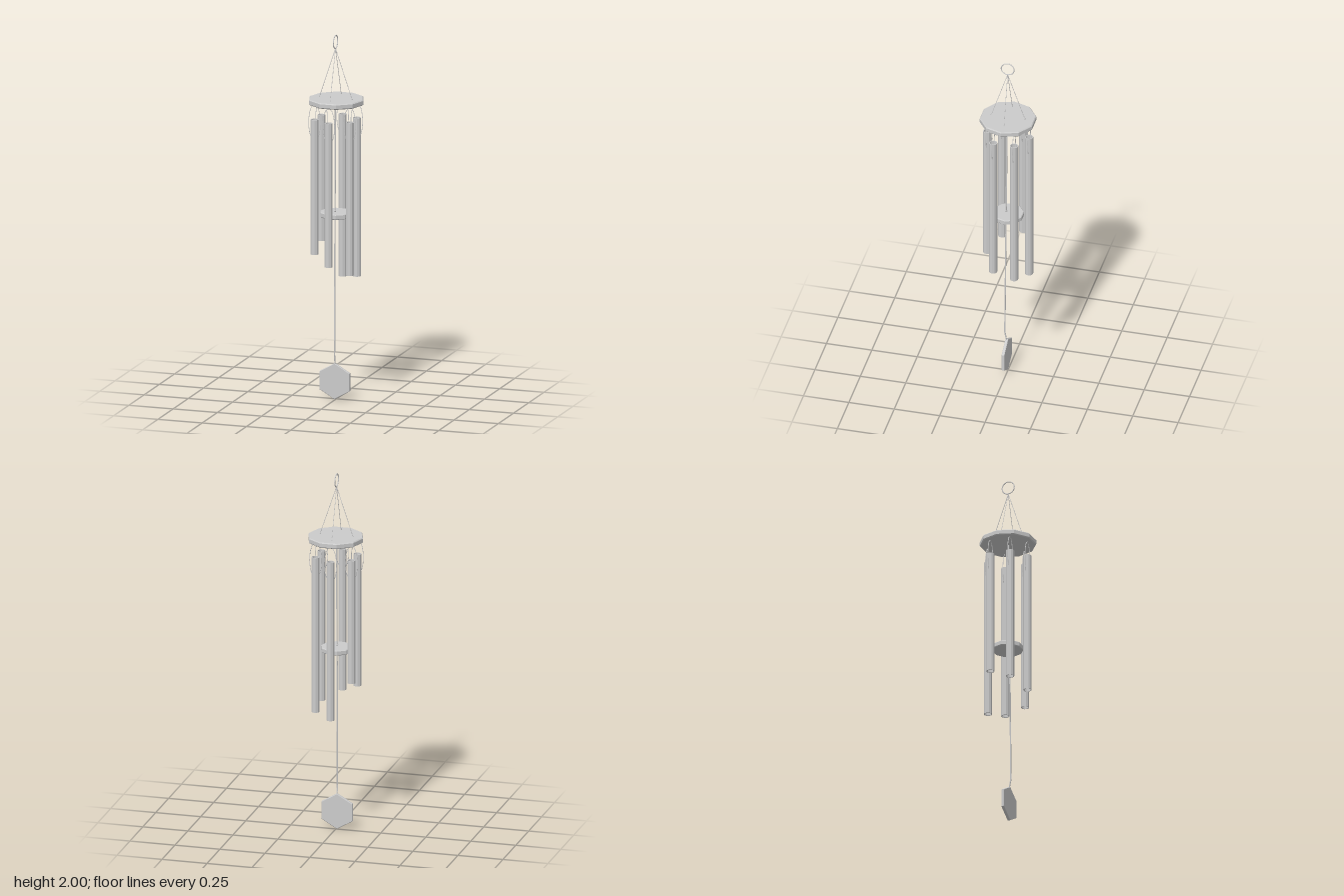
import * as THREE from 'three';

const material = new THREE.MeshStandardMaterial({ color: 0xcccccc, flatShading: true });
const V = (x, y, z) => new THREE.Vector3(x, y, z);
const AXIS_X = -0.004; // the cords hang a touch off the plate centre

function add(parent, name, geometry, x = 0, y = 0, z = 0) {
  const mesh = new THREE.Mesh(geometry, material);
  mesh.name = name;
  mesh.position.set(x, y, z);
  parent.add(mesh);
  return mesh;
}

// Faceted solid of revolution with a corner on the x axis
function lathe(profile, sides) {
  return new THREE.LatheGeometry(profile.map(([r, y]) => new THREE.Vector2(r, y)), sides, Math.PI / 2);
}

// Ten-sided disc with chamfered rims
function disc(r, h, c) {
  return lathe([[0, 0], [r - c, 0], [r, c], [r, h - c], [r - c, h], [0, h]], 10);
}

// Cord of straight runs through the given points
function cord(points, radius) {
  const path = new THREE.CurvePath();
  for (let i = 1; i < points.length; i++) path.add(new THREE.LineCurve3(points[i - 1], points[i]));
  return new THREE.TubeGeometry(path, 24, radius, 6);
}

export function createModel() {
  const model = new THREE.Group();
  model.name = 'windChime';

  // Hanging ring, facing sideways
  const ring = add(model, 'hangingRing', new THREE.TorusGeometry(0.0355, 0.003, 6, 20), AXIS_X, 1.9615, 0.003);
  ring.rotation.y = Math.PI / 2;

  // Top plate
  add(model, 'topPlate', disc(0.152, 0.03, 0.005), 0, 1.623, 0);

  // Four suspension cords with knots on the plate
  for (let i = 0; i < 4; i++) {
    const a = (i * Math.PI) / 2;
    const x = AXIS_X + 0.093 * Math.cos(a), z = 0.093 * Math.sin(a);
    add(model, 'suspensionCord', cord([V(AXIS_X, 1.926, 0.003), V(x, 1.65, z)], 0.0016));
    add(model, 'cordKnot', new THREE.SphereGeometry(0.004, 6, 4), x, 1.654, z);
  }

  // Six hollow tubes, each hung on an oval loop; bottoms rise around the circle
  const bottoms = [0.65, 0.67, 0.70, 0.75, 0.80, 0.85];
  const top = 1.54, outer = 0.0225, inner = 0.0185;
  bottoms.forEach((bottom, i) => {
    const a = (i * Math.PI) / 3;
    const chime = new THREE.Group();
    chime.name = 'chime';
    chime.position.set(AXIS_X + 0.115 * Math.sin(a), 0, -0.115 * Math.cos(a));
    model.add(chime);
    add(chime, 'chimeTube', lathe(
      [[inner, bottom], [outer, bottom], [outer, top], [inner, top], [inner, bottom]], 10));
    const loop = [];
    for (let k = 0; k < 20; k++) {
      const t = (k / 20) * Math.PI * 2;
      loop.push(V(0.033 * Math.cos(t), 1.522 + 0.1 * Math.sin(t), 0));
    }
    add(chime, 'chimeLoop', new THREE.TubeGeometry(new THREE.CatmullRomCurve3(loop, true), 32, 0.0018, 5, true));
  });

  // Striker disc with a knot on the centre cord
  add(model, 'striker', disc(0.085, 0.028, 0.004), AXIS_X, 1.002, 0);
  add(model, 'strikerKnot', new THREE.SphereGeometry(0.007, 6, 4), AXIS_X, 1.034, 0.011);

  // Centre cord down to the sail
  add(model, 'centreCord', cord([
    V(AXIS_X, 1.63, 0.006), V(AXIS_X, 1.03, 0.011), V(AXIS_X, 0.195, 0.019), V(AXIS_X, 0.187, 0.008),
  ], 0.0038));

  // Hexagonal wind sail, point up, with a small bevel
  const hexagon = new THREE.Shape();
  for (let i = 0; i < 6; i++) {
    const a = Math.PI / 2 + (i * Math.PI) / 3;
    hexagon[i ? 'lineTo' : 'moveTo'](0.096 * Math.cos(a), 0.096 * Math.sin(a));
  }
  hexagon.closePath();
  const sail = new THREE.ExtrudeGeometry(hexagon, {
    depth: 0.011, bevelEnabled: true, bevelThickness: 0.0025, bevelSize: 0.0025, bevelSegments: 1,
  });
  add(model, 'windSail', sail, AXIS_X - 0.002, 0.099, 0.0025);

  return model;
}
